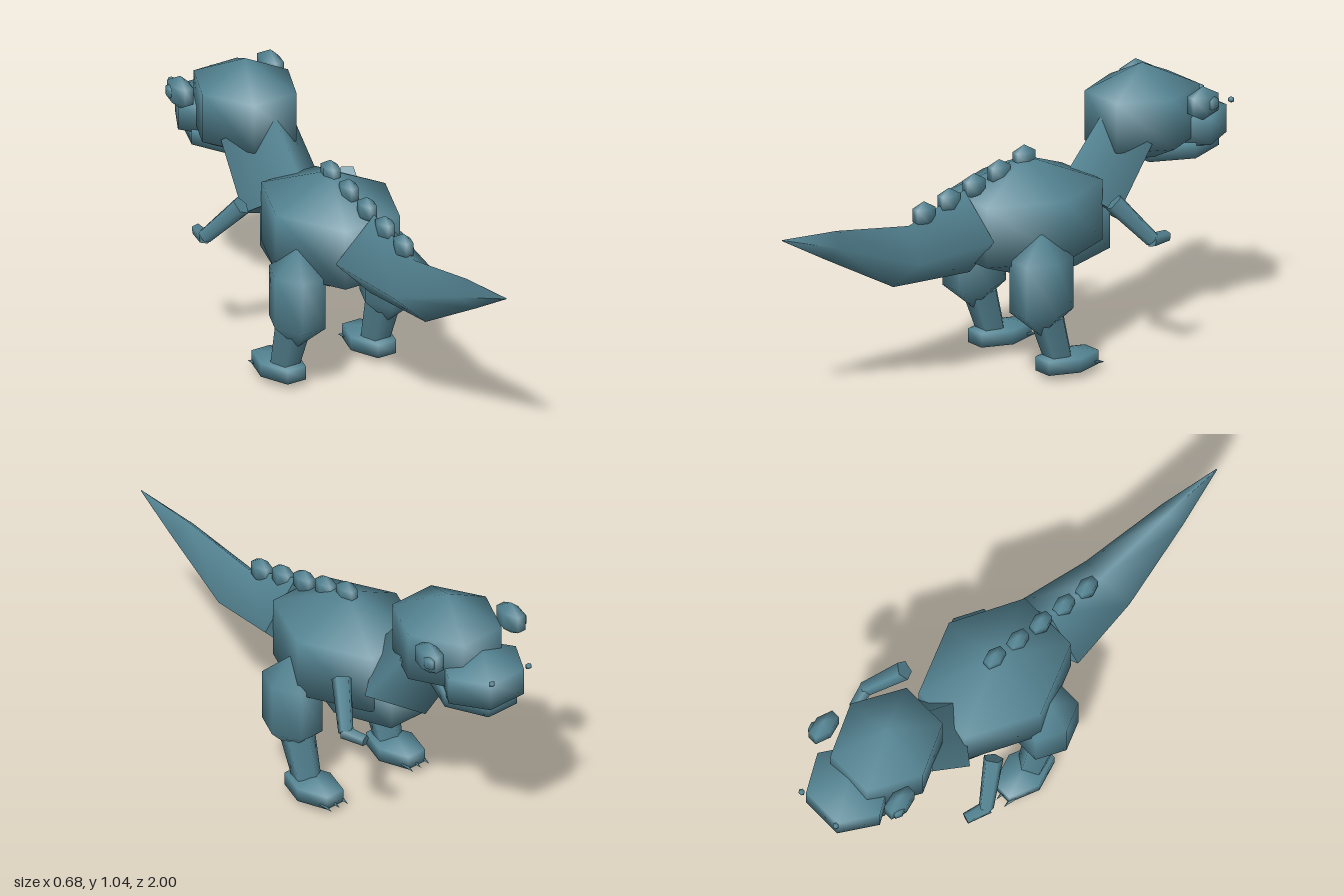
import * as THREE from 'three';

const skin = new THREE.MeshStandardMaterial({ color: 0x558594 });
skin.name = 'tealSkin';

export function createModel() {
  const model = new THREE.Group();
  model.name = 'dinosaur';

  function add(name, geometry) {
    const mesh = new THREE.Mesh(geometry, skin);
    mesh.name = name;
    model.add(mesh);
    return mesh;
  }

  // Faceted ellipsoid: hexagonal in plan, three bands high
  const ballGeometry = new THREE.SphereGeometry(1, 6, 3);
  function ball(name, position, radii) {
    const mesh = add(name, ballGeometry);
    mesh.position.set(...position);
    mesh.scale.set(...radii);
  }

  // Tapered limb running from point a to point b
  function limb(name, a, b, ra, rb, sides) {
    const start = new THREE.Vector3(...a);
    const end = new THREE.Vector3(...b);
    const dir = end.clone().sub(start);
    const mesh = add(name, new THREE.CylinderGeometry(rb, ra, dir.length(), sides));
    mesh.position.copy(start).add(end).multiplyScalar(0.5);
    mesh.quaternion.setFromUnitVectors(new THREE.Vector3(0, 1, 0), dir.normalize());
    return mesh;
  }

  // Torso, neck and head
  ball('body', [0, 0.565, -0.11], [0.28, 0.23, 0.355]);
  ball('belly', [0, 0.475, -0.22], [0.19, 0.162, 0.293]);
  const neck = limb('neck', [0, 0.56, -0.405], [0, 0.785, -0.573], 0.16, 0.143, 4);
  neck.scale.x = 1.13;
  ball('head', [0, 0.85, -0.65], [0.22, 0.19, 0.253]);
  ball('snout', [0, 0.78, -0.84], [0.19, 0.105, 0.18]);
  ball('jaw', [0, 0.708, -0.79], [0.16, 0.058, 0.213]);

  // Paired parts
  for (const [side, s] of [['left', 1], ['right', -1]]) {
    ball(side + 'Eye', [s * 0.2, 0.91, -0.775], [0.042, 0.065, 0.078]);
    ball(side + 'Pupil', [s * 0.222, 0.91, -0.8], [0.022, 0.032, 0.032]);
    ball(side + 'Nostril', [s * 0.09, 0.85, -0.99], [0.014, 0.012, 0.012]);

    limb(side + 'UpperArm', [s * 0.235, 0.63, -0.34], [s * 0.318, 0.485, -0.455], 0.038, 0.029, 5);
    limb(side + 'Forearm', [s * 0.32, 0.485, -0.445], [s * 0.295, 0.478, -0.535], 0.027, 0.022, 5);

    ball(side + 'Thigh', [s * 0.2, 0.37, -0.035], [0.115, 0.2, 0.143]);
    limb(side + 'Shin', [s * 0.2, 0.24, -0.065], [s * 0.2, 0.085, -0.112], 0.068, 0.056, 5);
    ball(side + 'Foot', [s * 0.2, 0.055, -0.152], [0.093, 0.052, 0.152]);
    for (const dx of [-0.04, 0, 0.04]) {
      limb(side + 'Claw', [s * 0.2 + dx, 0.042, -0.24], [s * 0.2 + dx, 0.03, -0.292], 0.013, 0, 4);
    }
  }

  // Row of bumps along the spine
  for (const [y, z] of [[0.787, -0.11], [0.755, 0.005], [0.725, 0.12], [0.693, 0.235], [0.665, 0.35]]) {
    ball('spineBump', [0, y, z], [0.035, 0.05, 0.055]);
  }

  // Diamond-section tail; rings are [topY, topZ, bottomY, bottomZ, halfWidth]
  const rings = [
    [0.72, 0.165, 0.4, 0.14, 0.162],
    [0.635, 0.42, 0.415, 0.49, 0.115],
    [0.685, 0.75, 0.59, 0.81, 0.055],
    [0.702, 1, 0.698, 1, 0.002],
  ];
  const tail = new THREE.CylinderGeometry(1, 1, 1, 4, rings.length - 1);
  const pos = tail.attributes.position;
  const nor = tail.attributes.normal;
  for (let i = 0; i < pos.count; i++) {
    const row = Math.round((0.5 - pos.getY(i)) * (rings.length - 1));
    const [ty, tz, by, bz, w] = rings[row];
    const uy = (ty - by) / 2, uz = (tz - bz) / 2, len = Math.hypot(uy, uz);
    const px = pos.getX(i), up = pos.getZ(i);
    pos.setXYZ(i, px * w, (ty + by) / 2 + up * uy, (tz + bz) / 2 + up * uz);
    const ny = nor.getY(i), nz = nor.getZ(i);
    nor.setXYZ(i, nor.getX(i), (nz * uy + ny * uz) / len, (nz * uz - ny * uy) / len);
  }
  add('tail', tail);

  return model;
}
